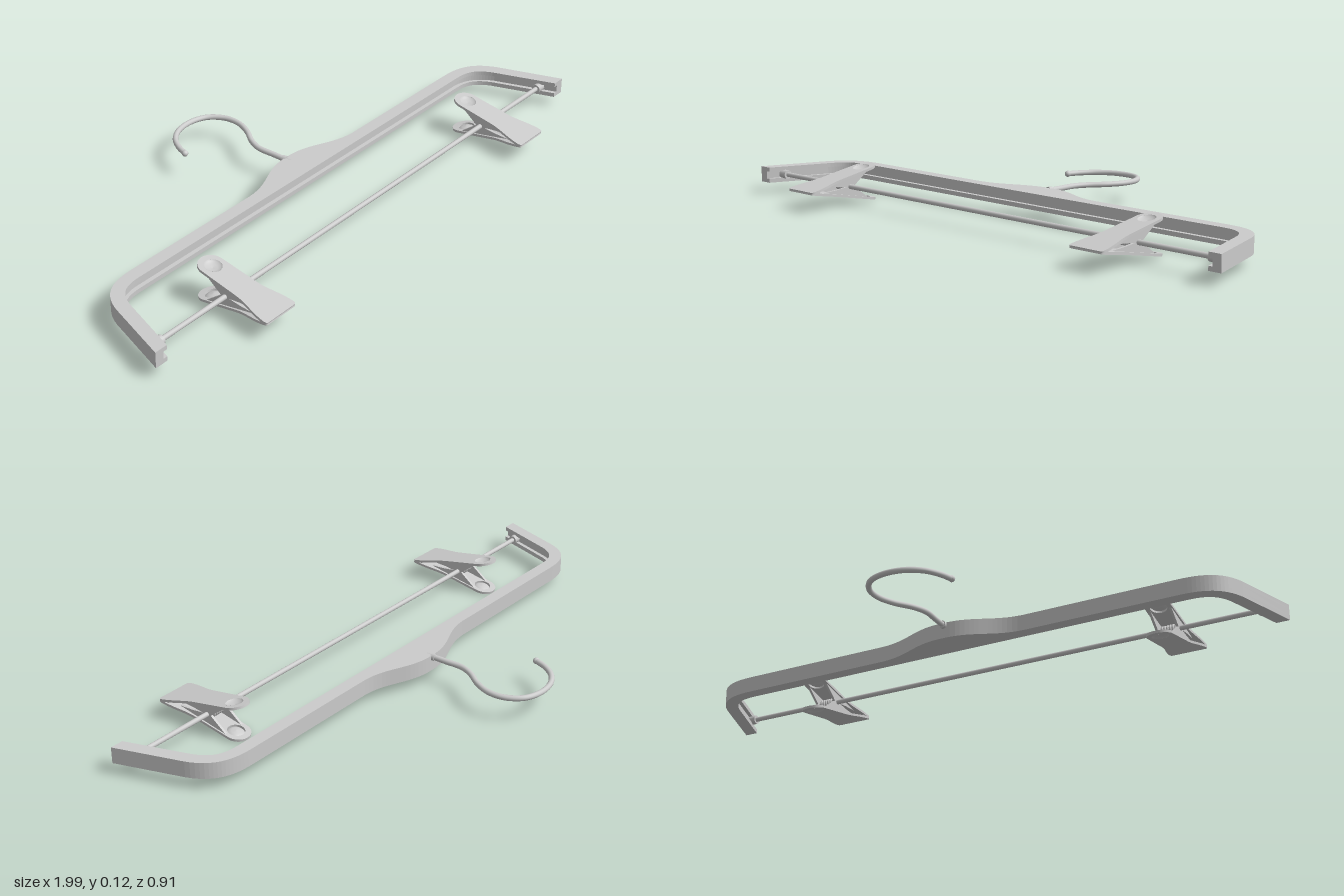
import * as THREE from 'three';

const grey = new THREE.MeshStandardMaterial({ color: 0xcccccc, side: THREE.DoubleSide });

function add(parent, name, geometry, x = 0, y = 0, z = 0) {
  const mesh = new THREE.Mesh(geometry, grey);
  mesh.name = name;
  mesh.position.set(x, y, z);
  parent.add(mesh);
  return mesh;
}

// Slab from an outline in x/z, from height y0 up to y1
function slab(shape, y0, y1) {
  return new THREE.ExtrudeGeometry(shape, { depth: y1 - y0, bevelEnabled: false, curveSegments: 16 })
    .rotateX(Math.PI / 2).translate(0, y1, 0);
}

// Profile in z/y, extruded over the given width around x
function sideProfile(points, width, x = 0) {
  const shape = new THREE.Shape(points.map(p => new THREE.Vector2(...p)));
  return new THREE.ExtrudeGeometry(shape, { depth: width, bevelEnabled: false })
    .rotateY(-Math.PI / 2).translate(x + width / 2, 0, 0);
}

// Hanger outline with humped centre and bent arms; inset trims the inner edge
function bodyShape(inset) {
  const s = new THREE.Shape();
  s.moveTo(-0.997, 0.333);
  s.lineTo(-0.925, 0.115);
  s.bezierCurveTo(-0.895, 0.035, -0.84, 0.012, -0.76, 0.012);
  s.lineTo(-0.25, 0.012);
  s.bezierCurveTo(-0.15, 0.008, -0.11, -0.052, -0.01, -0.053);
  s.lineTo(0.01, -0.053);
  s.bezierCurveTo(0.11, -0.052, 0.15, 0.008, 0.25, 0.012);
  s.lineTo(0.76, 0.012);
  s.bezierCurveTo(0.84, 0.012, 0.895, 0.035, 0.925, 0.115);
  s.lineTo(0.997, 0.333);
  s.lineTo(0.953 + inset, 0.333);
  s.lineTo(0.883 + inset, 0.125);
  s.bezierCurveTo(0.86 + inset, 0.07, 0.83, 0.055 - inset, 0.77, 0.055 - inset);
  s.lineTo(-0.77, 0.055 - inset);
  s.bezierCurveTo(-0.83, 0.055 - inset, -0.86 - inset, 0.07, -0.883 - inset, 0.125);
  s.lineTo(-0.953 - inset, 0.333);
  s.closePath();
  return s;
}

// Half of a clip, with the jaw tip at the origin
function makeJaw() {
  const jaw = new THREE.Group();
  jaw.name = 'clipJaw';
  const s = new THREE.Shape();
  s.moveTo(-0.055, 0);
  s.quadraticCurveTo(-0.063, 0, -0.063, -0.012);
  s.bezierCurveTo(-0.061, -0.06, -0.045, -0.09, -0.044, -0.13);
  s.lineTo(-0.042, -0.26);
  s.absarc(0, -0.262, 0.042, Math.PI, Math.PI * 2, false);
  s.lineTo(0.044, -0.13);
  s.bezierCurveTo(0.045, -0.09, 0.061, -0.06, 0.063, -0.012);
  s.quadraticCurveTo(0.063, 0, 0.055, 0);
  s.closePath();
  const hole = new THREE.Path();
  hole.absarc(0, -0.258, 0.027, 0, Math.PI * 2, true);
  s.holes.push(hole);
  const lever = new THREE.Group();
  lever.name = 'lever';
  lever.rotation.x = 0.187;
  jaw.add(lever);
  add(lever, 'leverPlate', slab(s, -0.004, 0.004));
  // Shallow thumb dimple
  const bowl = [[0, -0.005], [0.014, -0.003], [0.023, 0], [0.027, 0.004]]
    .map(p => new THREE.Vector2(...p));
  add(lever, 'thumbDimple', new THREE.LatheGeometry(bowl, 24), 0, 0, -0.258);
  // Cheeks that hold the rail, and the gripping lip
  for (const side of [-1, 1]) {
    add(jaw, 'cheek', sideProfile(
      [[-0.05, 0.009], [-0.12, 0.005], [-0.16, 0], [-0.19, 0], [-0.25, 0.046], [-0.175, 0.033]],
      0.008, side * 0.034));
  }
  add(jaw, 'gripLip', sideProfile([[-0.003, 0], [-0.003, 0.003], [-0.034, 0.007], [-0.034, 0]], 0.114));
  return jaw;
}

export function createModel() {
  const hanger = new THREE.Group();
  hanger.name = 'trouserHanger';

  // Frame: two flanges with a groove between them on the inner side
  const frame = new THREE.Group();
  frame.name = 'frame';
  hanger.add(frame);
  add(frame, 'lowerFlange', slab(bodyShape(0), 0.036, 0.05));
  add(frame, 'web', slab(bodyShape(0.014), 0.05, 0.074));
  add(frame, 'upperFlange', slab(bodyShape(0), 0.074, 0.088));

  // Wire hook
  const path = [[-0.006, -0.03], [-0.006, -0.1], [-0.006, -0.165], [0.012, -0.21], [0.05, -0.265],
    [0.072, -0.32], [0.07, -0.375], [0.037, -0.425], [-0.02, -0.446], [-0.085, -0.439],
    [-0.135, -0.408], [-0.165, -0.365], [-0.181, -0.323]]
    .map(([x, z]) => new THREE.Vector3(x, 0.08, z));
  add(hanger, 'hook', new THREE.TubeGeometry(new THREE.CatmullRomCurve3(path), 96, 0.009, 12));
  add(hanger, 'hookTip', new THREE.SphereGeometry(0.0105, 16, 12), -0.181, 0.08, -0.323);
  add(hanger, 'hookCollar', new THREE.CylinderGeometry(0.012, 0.012, 0.014, 16).rotateX(Math.PI / 2),
    -0.006, 0.08, -0.056);

  // Clip rail and its end sockets
  add(hanger, 'rail', new THREE.CylinderGeometry(0.008, 0.008, 1.9, 16).rotateZ(Math.PI / 2), 0, 0.062, 0.28);
  for (const side of [-1, 1]) {
    add(hanger, 'railSocket', new THREE.CylinderGeometry(0.015, 0.015, 0.03, 16).rotateZ(Math.PI / 2),
      side * 0.934, 0.062, 0.28);

    // Clip: two mirrored jaws around a coiled spring
    const clip = new THREE.Group();
    clip.name = 'clip';
    clip.position.set(side * 0.625, 0.062, 0.455);
    hanger.add(clip);
    const lower = makeJaw();
    lower.rotation.z = Math.PI;
    clip.add(makeJaw(), lower);
    for (let i = -2; i <= 2; i++) {
      add(clip, 'springCoil', new THREE.TorusGeometry(0.013, 0.004, 8, 20).rotateY(Math.PI / 2),
        i * 0.009, 0, -0.175);
    }
  }
  return hanger;
}
